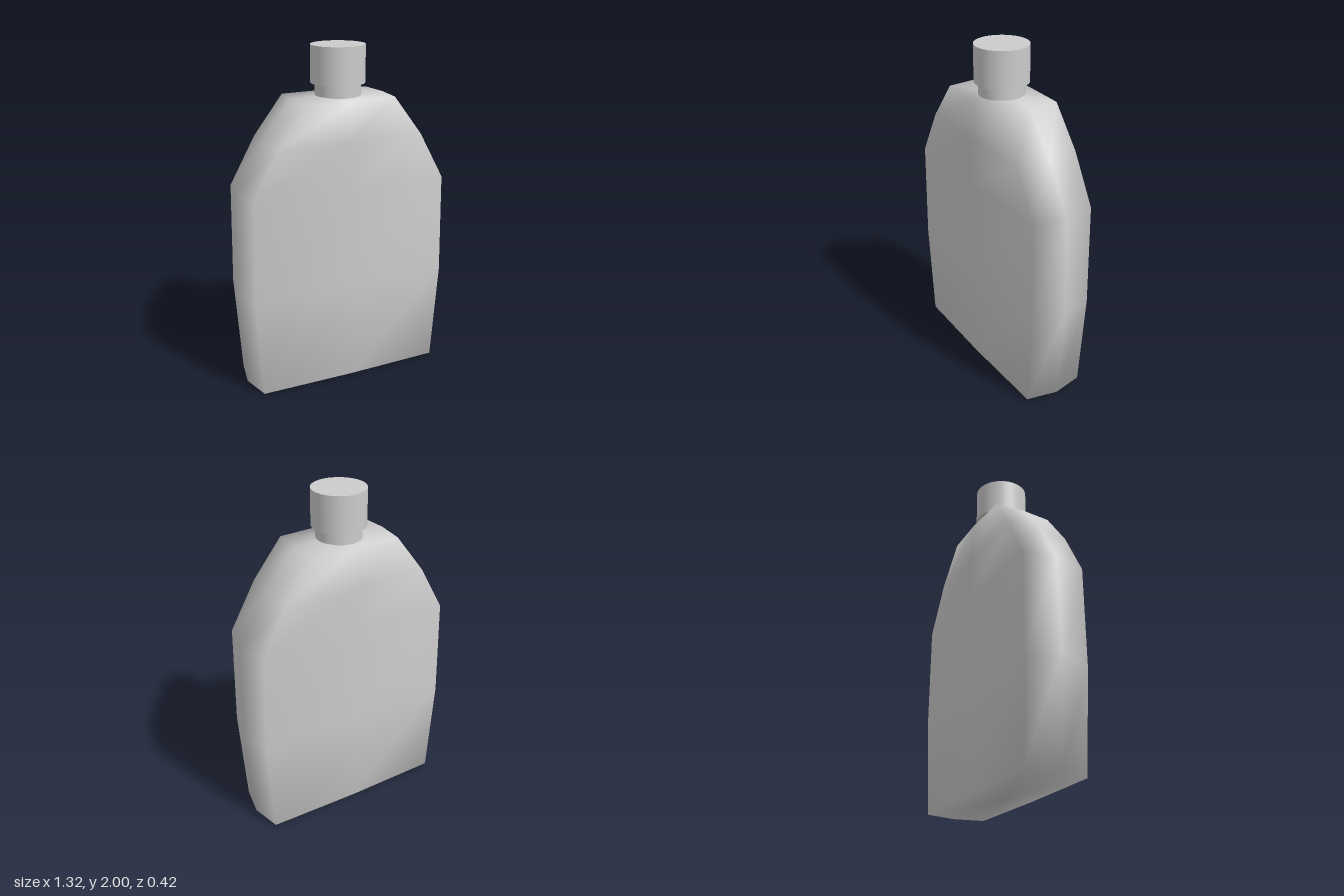
import * as THREE from 'three';

const material = new THREE.MeshStandardMaterial({ color: 0xcccccc });

// Flat flask body lofted through eight-sided cross-sections
function bodyGeometry() {
  // [height, half width at side ridge, half width at corners, corner depth, centre depth]
  const sections = [
    [0.01, 0.61, 0.57, 0.185, 0.195],
    [0.6, 0.66, 0.61, 0.193, 0.208],
    [1.2, 0.642, 0.6, 0.193, 0.208],
    [1.48, 0.48, 0.445, 0.19, 0.205],
    [1.71, 0.29, 0.272, 0.18, 0.192],
  ];
  const positions = [];
  const index = [];
  for (const [y, side, corner, depth, middle] of sections) {
    const ring = [
      [side, 0], [corner, depth], [0, middle], [-corner, depth],
      [-side, 0], [-corner, -depth], [0, -middle], [corner, -depth],
    ];
    for (const [x, z] of ring) positions.push(x, y, z);
  }
  const n = 8;
  const last = (sections.length - 1) * n;
  const bottom = positions.length / 3;
  const top = bottom + 1;
  positions.push(0, 0, 0, 0, 1.72, 0);

  for (let i = 0; i < n; i++) {
    const k = (i + 1) % n;
    for (let r = 0; r < last; r += n) {
      index.push(r + i, r + n + i, r + k, r + k, r + n + i, r + n + k);
    }
    index.push(bottom, i, k, top, last + k, last + i);
  }
  const geometry = new THREE.BufferGeometry();
  geometry.setAttribute('position', new THREE.Float32BufferAttribute(positions, 3));
  geometry.setIndex(index);
  geometry.computeVertexNormals();
  return geometry;
}

function cylinder(name, radius, y0, y1) {
  const mesh = new THREE.Mesh(new THREE.CylinderGeometry(radius, radius, y1 - y0, 48), material);
  mesh.position.y = (y0 + y1) / 2;
  mesh.name = name;
  return mesh;
}

export function createModel() {
  const group = new THREE.Group();
  group.name = 'flask';

  const body = new THREE.Mesh(bodyGeometry(), material);
  body.name = 'body';
  group.add(body);

  // Neck and screw cap
  group.add(cylinder('neck', 0.132, 1.69, 1.79));
  group.add(cylinder('cap', 0.157, 1.785, 2));
  return group;
}
